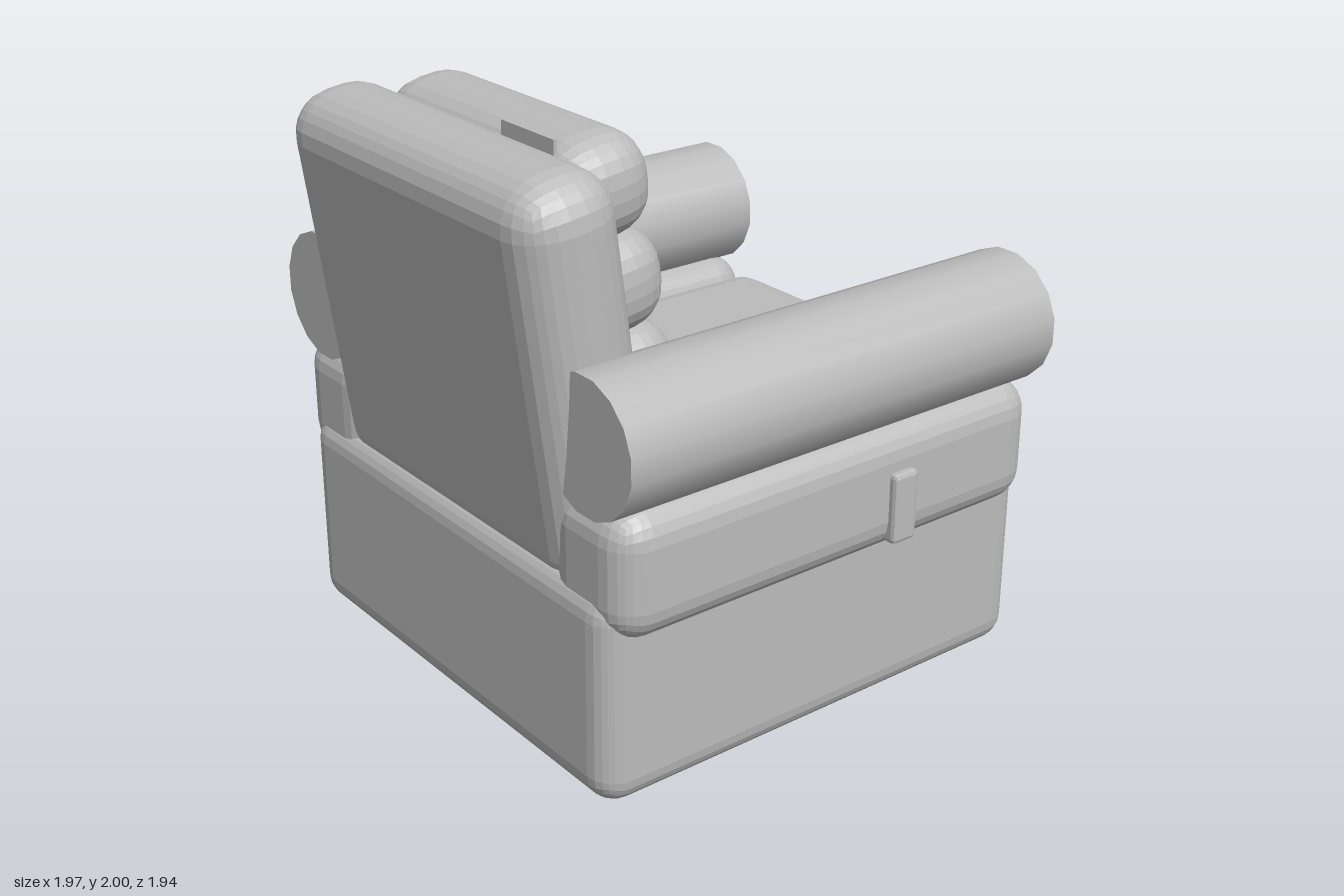
import * as THREE from 'three';
import { RoundedBoxGeometry } from 'three/addons/geometries/RoundedBoxGeometry.js';

const upholstery = new THREE.MeshStandardMaterial({ color: 0xbbbbbb });
upholstery.name = 'grey upholstery';

// Faceted, bevelled block centred on (x, y, z)
function block(name, [w, h, d], [x, y, z], radius, segments = 3) {
  const geometry = new RoundedBoxGeometry(w, h, d, segments, radius);
  geometry.computeVertexNormals();
  const mesh = new THREE.Mesh(geometry, upholstery);
  mesh.name = name;
  mesh.position.set(x, y, z);
  return mesh;
}

export function createModel() {
  const chair = new THREE.Group();
  chair.name = 'armchair';

  // Base and seat
  chair.add(block('base', [1.76, 0.74, 1.76], [0, 0.37, -0.03], 0.1));
  chair.add(block('seatCushion', [1.07, 0.28, 1.4], [0, 0.86, -0.17], 0.12));

  // Arms: padded side with a round bolster on top
  for (const side of [-1, 1]) {
    const arm = new THREE.Group();
    arm.name = side > 0 ? 'leftArm' : 'rightArm';
    arm.add(block('armSide', [0.4, 0.445, 1.72], [side * 0.74, 0.798, -0.03], 0.12));
    const bolster = new THREE.Mesh(new THREE.CylinderGeometry(0.225, 0.225, 1.72, 16), upholstery);
    bolster.name = 'armBolster';
    bolster.geometry.rotateY(Math.PI / 16);
    bolster.rotation.x = Math.PI / 2;
    bolster.position.set(side * 0.762, 1.195, -0.03);
    arm.add(bolster);
    chair.add(arm);
  }

  // Reclined backrest
  const tilt = 0.136;
  const backrest = block('backrest', [1.43, 1.36, 0.36], [0, 1.29, 0.715], 0.15);
  backrest.rotation.x = tilt;
  chair.add(backrest);

  // Three stacked back pillows
  for (let i = 0; i < 3; i++) {
    const pillow = block('backPillow', [1.1, 0.335, 0.35], [0, 1.83 - i * 0.31, 0.54 - i * 0.05], 0.145);
    pillow.rotation.x = tilt;
    chair.add(pillow);
  }

  // Thin tag behind the top pillow
  const tag = new THREE.Mesh(new THREE.BoxGeometry(0.27, 0.1, 0.012), upholstery);
  tag.name = 'tag';
  tag.position.set(0.285, 1.945, 0.673);
  chair.add(tag);

  // Footrest panel and recline lever
  chair.add(block('footrestPanel', [1.06, 0.52, 0.07], [0, 0.31, -0.938], 0.034, 1));
  chair.add(block('reclineLever', [0.06, 0.245, 0.1], [0.938, 0.743, -0.272], 0.015, 1));

  return chair;
}
